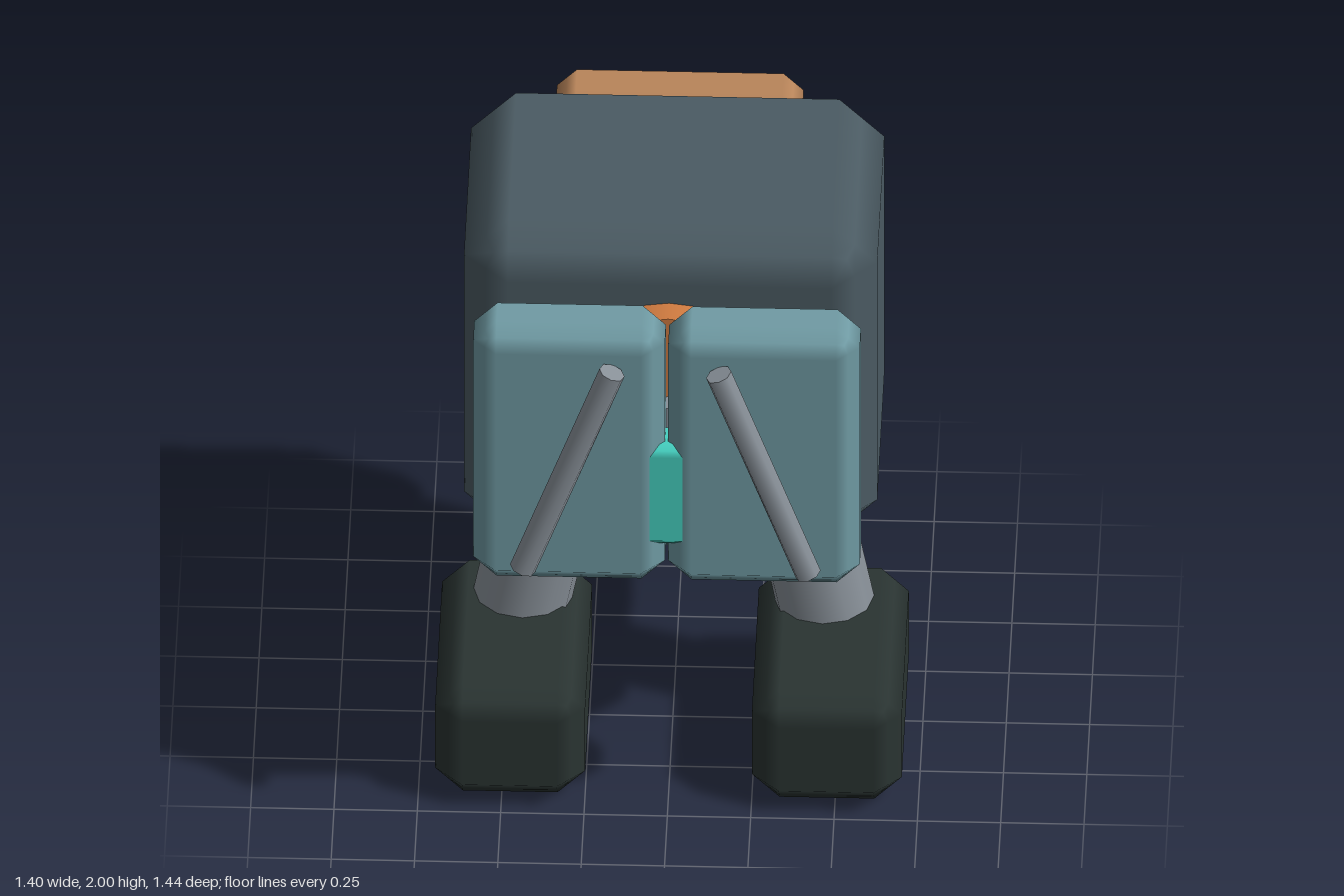
import * as THREE from 'three';

const paint = (name, color) => {
  const m = new THREE.MeshStandardMaterial({ color });
  m.name = name;
  return m;
};

// Box with 45 degree bevels and normals that blend across them
function bevelBox(w, h, d, c) {
  const g = new THREE.BoxGeometry(1, 1, 1, 3, 3, 3);
  const pos = g.attributes.position, nor = g.attributes.normal;
  const half = [w / 2, h / 2, d / 2];
  for (let i = 0; i < pos.count; i++) {
    const p = [pos.getX(i), pos.getY(i), pos.getZ(i)];
    const dir = p.map(v => (Math.abs(v) > 0.4 ? Math.sign(v) : 0));
    const n = dir.filter(v => v !== 0).length;
    pos.setXYZ(i, ...p.map((v, k) => Math.sign(v) * (half[k] - c) + dir[k] * c / n));
    nor.setXYZ(i, ...dir.map(v => v / Math.sqrt(n)));
  }
  return g;
}

export function createModel() {
  const root = new THREE.Group();
  root.name = 'walkingRobot';

  const slate = paint('slate', 0x4b5b63);
  const charcoal = paint('charcoal', 0x2a3432);
  const teal = paint('dustyTeal', 0x709ba4);
  const steel = paint('steel', 0x899199);
  const orange = paint('orange', 0xd07b40);
  const tan = paint('tan', 0xb9855a);
  const aqua = paint('aqua', 0x45d0c0);

  const add = (name, geometry, material) => {
    const mesh = new THREE.Mesh(geometry, material);
    mesh.name = name;
    root.add(mesh);
    return mesh;
  };
  // Bevelled box given by its lower and upper corners
  const box = (name, lo, hi, c, material) => {
    const mesh = add(name, bevelBox(hi[0] - lo[0], hi[1] - lo[1], hi[2] - lo[2], c), material);
    mesh.position.set(...lo.map((v, k) => (v + hi[k]) / 2));
    return mesh;
  };
  // Cylinder between two points
  const rod = (name, a, b, r, sides, material) => {
    const from = new THREE.Vector3(...a), to = new THREE.Vector3(...b);
    const mesh = add(name, new THREE.CylinderGeometry(r, r, from.distanceTo(to), sides), material);
    mesh.position.copy(from).add(to).multiplyScalar(0.5);
    mesh.quaternion.setFromUnitVectors(new THREE.Vector3(0, 1, 0), to.sub(from).normalize());
    return mesh;
  };

  // Body, pelvis and backpack
  box('body', [-0.62, 0.845, -0.565], [0.62, 2, 0.34], 0.135, slate);
  box('pelvis', [-0.365, 0.835, -0.305], [0.365, 1.03, 0.305], 0.045, teal);
  box('backpack', [-0.37, 1.43, -0.72], [0.37, 1.92, -0.5], 0.06, tan);

  // Round core behind the chest doors
  rod('upperCore', [0, 1.53, 0.2], [0, 1.53, 0.42], 0.27, 24, orange);
  rod('lowerCore', [0, 1.27, 0.2], [0, 1.27, 0.48], 0.24, 24, steel);
  box('chestLight', [-0.085, 1.085, 0.47], [0.085, 1.455, 0.615], 0.03, aqua);

  // Mirrored parts
  for (const [side, s] of [['left', 1], ['right', -1]]) {
    const door = box(side + 'ChestDoor', [0.005, 0.94, 0.405], [0.58, 1.89, 0.64], 0.07, teal);
    door.position.x *= s;
    rod(side + 'DoorBar', [s * 0.428, 1.05, 0.677], [s * 0.16, 1.788, 0.677], 0.04, 8, steel);
    rod(side + 'Leg', [s * 0.489, 0.2, -0.09], [s * 0.323, 1.05, -0.09], 0.148, 12, steel);
    const foot = box(side + 'Foot', [0.25, 0, -0.31], [0.7, 0.4, 0.475], 0.083, charcoal);
    foot.position.x *= s;
  }
  return root;
}
